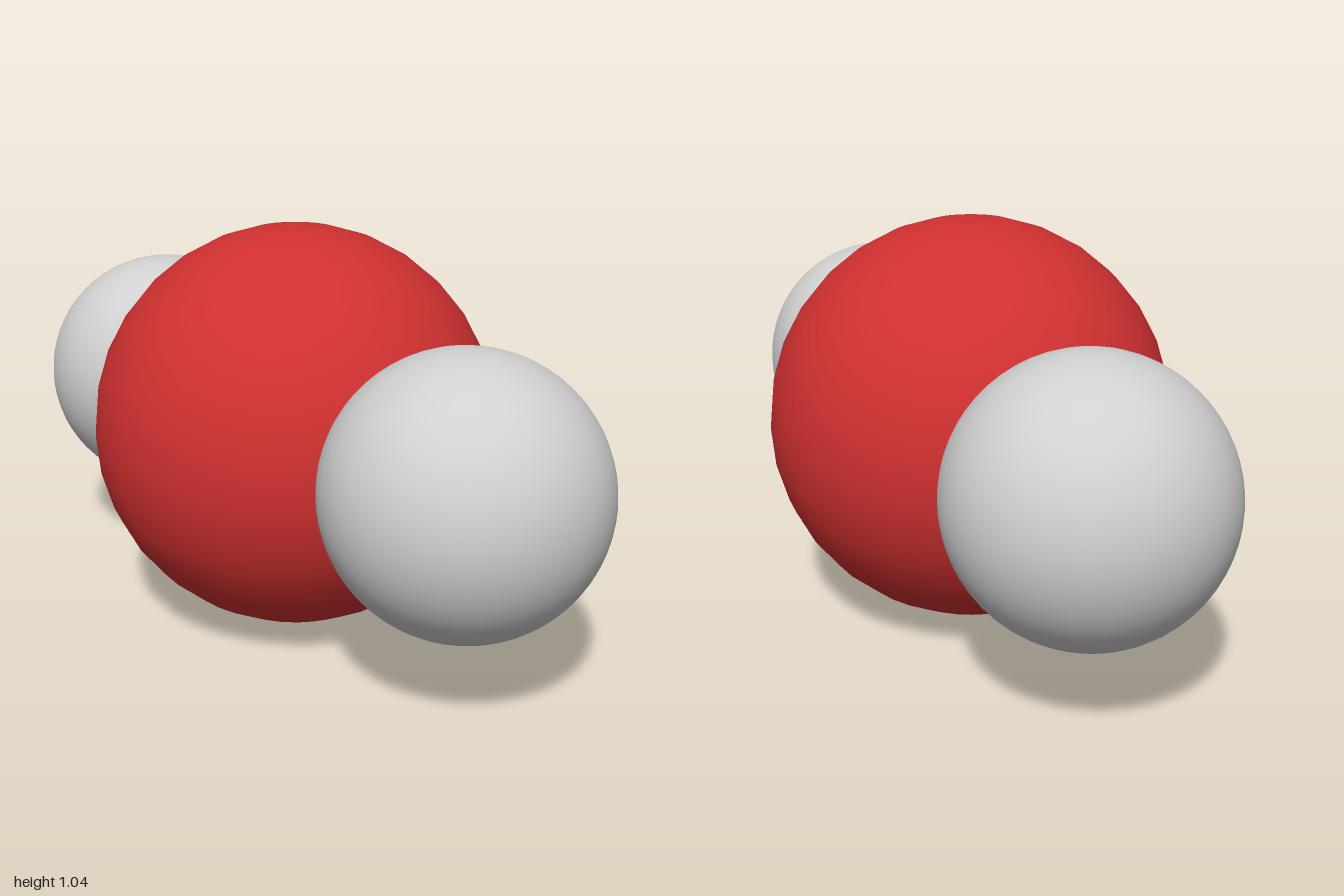
import * as THREE from 'three';

const CENTRE_Y = 0.523;

export function createModel() {
  const model = new THREE.Group();
  model.name = 'molecule';

  const red = new THREE.MeshStandardMaterial({ color: 0xd03030 });
  red.name = 'red';
  const lightGrey = new THREE.MeshStandardMaterial({ color: 0xd0d0d0 });
  lightGrey.name = 'lightGrey';

  function addBall(name, radius, segments, z, material) {
    const ball = new THREE.Mesh(new THREE.SphereGeometry(radius, segments, segments / 2), material);
    ball.name = name;
    ball.position.set(0, CENTRE_Y, z);
    model.add(ball);
  }

  // Large central atom
  addBall('centralAtom', 0.522, 32, 0, red);

  // Two smaller atoms sunk into its front and back
  addBall('frontAtom', 0.338, 64, 0.662, lightGrey);
  addBall('backAtom', 0.338, 64, -0.662, lightGrey);

  return model;
}
